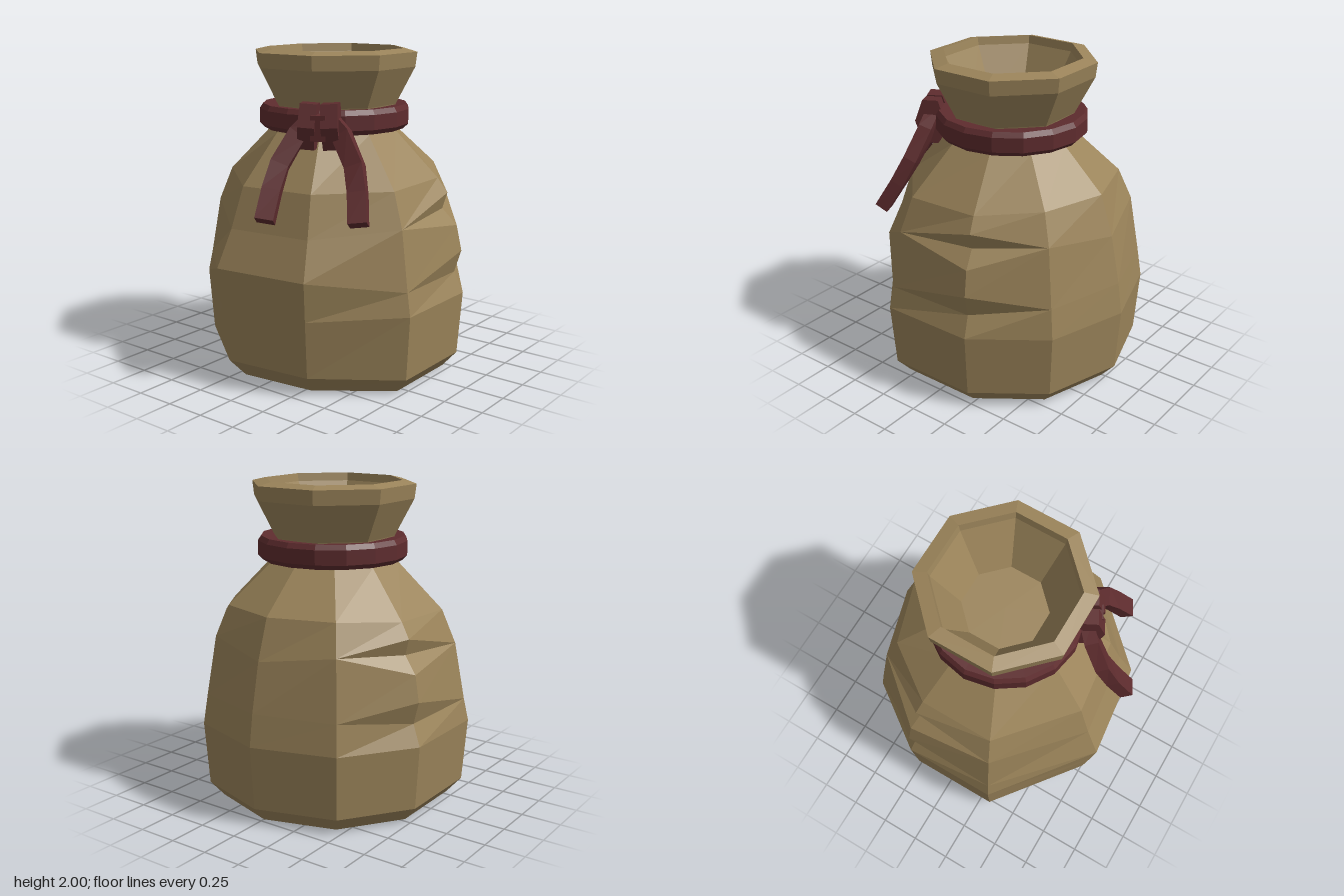
import * as THREE from 'three';

const cloth = new THREE.MeshStandardMaterial({ color: 0x9b845a, flatShading: true });
cloth.name = 'burlap tan';
const cord = new THREE.MeshStandardMaterial({ color: 0x5e2c2e, flatShading: true });
cord.name = 'dark red cord';

// Skin a stack of rings; each ring runs from +z towards +x. Collapsed faces are dropped.
function loft(rings, capStart, capEnd) {
  const pos = [];
  const tri = (a, b, c) => {
    const n = b.clone().sub(a).cross(c.clone().sub(a));
    if (n.length() > 1e-7) for (const p of [a, b, c]) pos.push(p.x, p.y, p.z);
  };
  const n = rings[0].length;
  const centre = r => r.reduce((s, p) => s.add(p), new THREE.Vector3()).divideScalar(n);
  for (let i = 0; i + 1 < rings.length; i++) {
    for (let j = 0; j < n; j++) {
      const k = (j + 1) % n;
      tri(rings[i][j], rings[i][k], rings[i + 1][k]);
      tri(rings[i][j], rings[i + 1][k], rings[i + 1][j]);
    }
  }
  const first = rings[0], last = rings[rings.length - 1];
  for (let j = 0; j < n; j++) {
    const k = (j + 1) % n;
    if (capStart) tri(centre(first), first[k], first[j]);
    if (capEnd) tri(centre(last), last[j], last[k]);
  }
  const g = new THREE.BufferGeometry();
  g.setAttribute('position', new THREE.Float32BufferAttribute(pos, 3));
  g.computeVertexNormals();
  return g;
}

function add(parent, name, geometry, material) {
  const m = new THREE.Mesh(geometry, material);
  m.name = name;
  parent.add(m);
  return m;
}

// Sack body: nine columns, each a profile of [scale, y]; side columns carry two sagging folds
function bodyGeometry() {
  const foot = [[0.86, 0], [0.965, 0.1], [1, 0.5]];
  const top = [[0.47, 1.5], [0.41, 1.6]];
  const plain = (low, high, shoulder) => [
    ...foot, [0.965, low], [0.965, low],
    [0.89, high], [0.89, high], [0.89, high], [0.79, shoulder], ...top];
  const fold = [
    ...foot, [0.93, 0.63], [0.98, 0.77], [0.94, 0.93],
    [0.83, 1.03], [0.865, 1.13], [0.79, 1.22], ...top];
  const front = [
    [0.79, 0], [0.92, 0.12], [0.97, 0.48], [1, 0.72], [1, 0.72],
    [0.88, 0.95], [0.88, 0.95], [0.88, 0.95], [0.78, 1.2], [0.5, 1.5], [0.43, 1.6]];
  const side = plain(0.64, 1.0, 1.21), rear = plain(0.69, 1.06, 1.25), back = plain(0.7, 1.0, 1.25);
  const columns = [
    [-0.25, 0.83, front], [0.36, 0.76, front], [0.81, 0.34, side],
    [0.81, -0.26, fold], [0.51, -0.68, rear], [0, -0.84, back],
    [-0.51, -0.68, rear], [-0.81, -0.26, fold], [-0.81, 0.34, side]];
  const rings = front.map((_, i) => columns.map(([x, z, p]) =>
    new THREE.Vector3(x * p[i][0], p[i][1], z * p[i][0])));
  return loft(rings, true, true);
}

// Flared octagonal neck with rim and hollow mouth: [half width, y]
function neckGeometry() {
  const profile = [[0.33, 1.56], [0.36, 1.66], [0.47, 1.89], [0.48, 1.98],
    [0.4, 2.0], [0.39, 1.95], [0.24, 1.64]];
  const rings = profile.map(([w, y]) => Array.from({ length: 8 }, (_, j) => {
    const a = (j + 0.5) * Math.PI / 4, r = w / Math.cos(Math.PI / 8);
    return new THREE.Vector3(r * Math.sin(a), y, r * Math.cos(a));
  }));
  return loft(rings, false, true);
}

// Hanging cord end: square section swept along a path from tip to knot
function tailGeometry(s) {
  const path = [[0.27, 1.06, 0.77], [0.25, 1.22, 0.67], [0.22, 1.36, 0.59],
    [0.13, 1.53, 0.51], [0.03, 1.63, 0.47]].map(([x, y, z]) => new THREE.Vector3(s * x, y, z));
  const rings = path.map((p, i) => {
    const t = path[Math.min(i + 1, path.length - 1)].clone()
      .sub(path[Math.max(i - 1, 0)]).normalize();
    const u = t.clone().cross(new THREE.Vector3(0, 0, 1)).normalize();
    const n = u.clone().cross(t);
    return [[-1, 1], [1, 1], [1, -1], [-1, -1]].map(([a, b]) =>
      p.clone().addScaledVector(u, a * 0.055).addScaledVector(n, b * 0.042));
  });
  return loft(rings, true, true);
}

export function createModel() {
  const model = new THREE.Group();
  model.name = 'tiedSack';
  add(model, 'sackBody', bodyGeometry(), cloth);
  add(model, 'sackNeck', neckGeometry(), cloth);

  // Cord wrapped round the neck
  const band = [[0.32, 1.51], [0.44, 1.51], [0.47, 1.54], [0.47, 1.63], [0.45, 1.66], [0.32, 1.65]]
    .map(p => new THREE.Vector2(...p));
  add(model, 'neckCord', new THREE.LatheGeometry(band, 16), cord);

  // Knot and two hanging ends, turned towards the front left
  const bow = new THREE.Group();
  bow.name = 'knot';
  bow.rotation.y = 0.48;
  model.add(bow);
  for (const s of [-1, 1]) {
    const loop = new THREE.CylinderGeometry(0.155, 0.155, 0.1, 6);
    loop.rotateZ(Math.PI / 2);
    loop.scale(1, 1, 0.62);
    const m = add(bow, 'knotLoop', loop, cord);
    m.position.set(s * 0.068, 1.575, 0.49);
    m.rotation.z = s * 0.06;
    add(bow, 'cordEnd', tailGeometry(s), cord);
  }
  const wrap = add(bow, 'knotCentre', new THREE.BoxGeometry(0.09, 0.15, 0.16), cord);
  wrap.position.set(0, 1.57, 0.49);
  return model;
}
